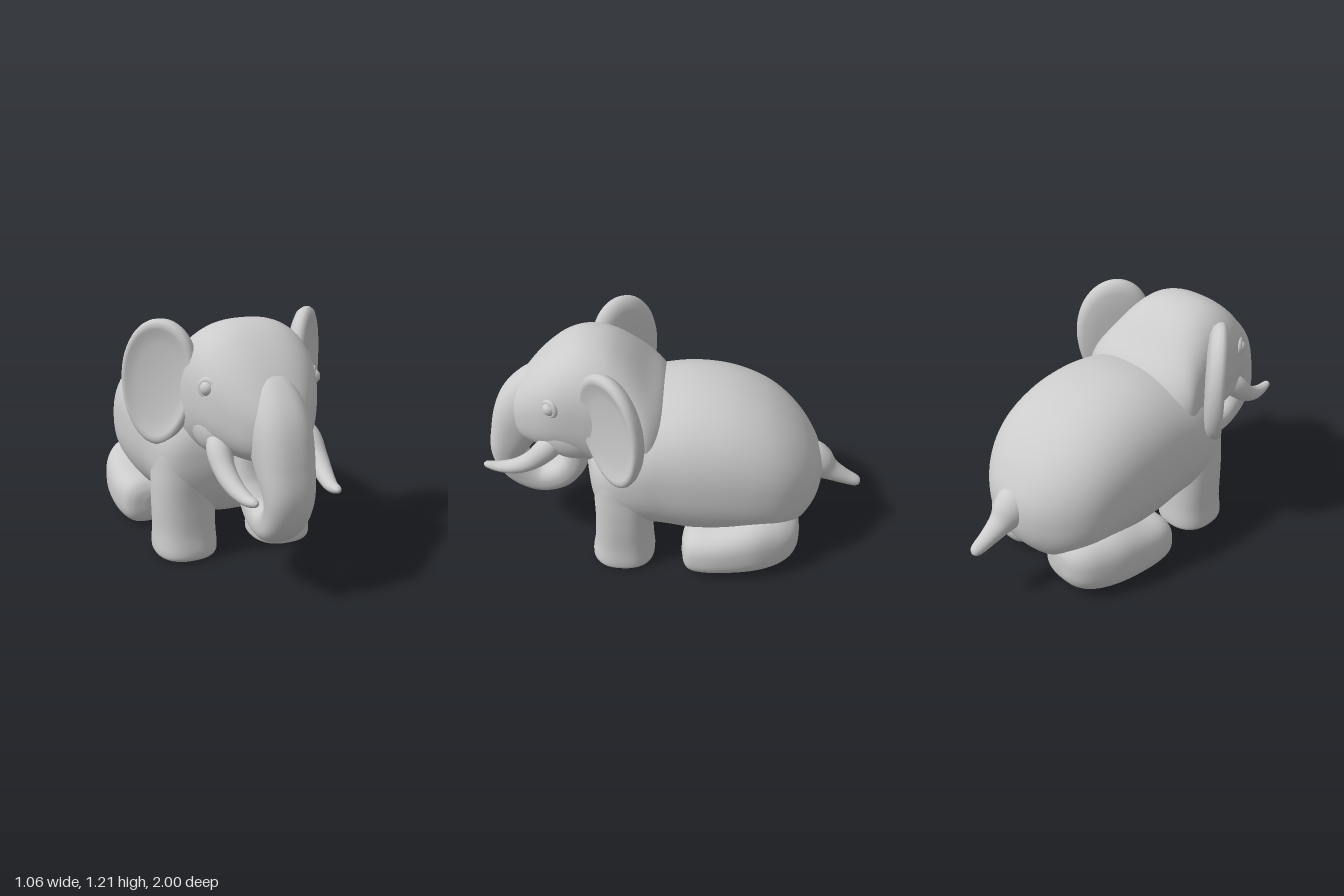
import * as THREE from 'three';
import { mergeVertices } from 'three/addons/utils/BufferGeometryUtils.js';

const material = new THREE.MeshStandardMaterial({ color: 0xcccccc, roughness: 0.8 });

function mesh(name, geometry) {
  const m = new THREE.Mesh(geometry, material);
  m.name = name;
  return m;
}

// Smooth closed skin through superellipse sections [x, y, z, halfWidth, halfDepth].
// A fixed dir keeps all sections parallel; otherwise they follow the path.
function sweep(sections, { power = 2, dir = null, sides = 48, sub = 6 } = {}) {
  const spline = f => new THREE.CatmullRomCurve3(sections.map(f), false, 'catmullrom', 0.5);
  const path = spline(s => new THREE.Vector3(s[0], s[1], s[2]));
  const size = spline(s => new THREE.Vector3(s[3], s[4], 0));
  const steps = (sections.length - 1) * sub;
  const pos = [], index = [];
  const bend = c => Math.sign(c) * Math.pow(Math.abs(c), 2 / power);
  for (let j = 0; j <= steps; j++) {
    const p = path.getPoint(j / steps), r = size.getPoint(j / steps);
    const t = dir ? dir.clone() : path.getTangent(j / steps);
    const u = new THREE.Vector3(1, 0, 0).addScaledVector(t, -t.x).normalize();
    const v = t.clone().cross(u);
    for (let i = 0; i < sides; i++) {
      const a = (i / sides) * Math.PI * 2;
      const q = p.clone().addScaledVector(u, r.x * bend(Math.cos(a))).addScaledVector(v, r.y * bend(Math.sin(a)));
      pos.push(q.x, q.y, q.z);
      if (j < steps) {
        const n = (i + 1) % sides, a0 = j * sides + i, a1 = j * sides + n;
        index.push(a0, a1, a0 + sides, a1, a1 + sides, a0 + sides);
      }
    }
  }
  // end caps
  const c0 = (steps + 1) * sides, last = steps * sides;
  for (const k of [0, 1]) pos.push(...path.getPoint(k).toArray());
  for (let i = 0; i < sides; i++) {
    const n = (i + 1) % sides;
    index.push(c0, n, i, c0 + 1, last + i, last + n);
  }
  const g = new THREE.BufferGeometry();
  g.setAttribute('position', new THREE.Float32BufferAttribute(pos, 3));
  g.setIndex(index);
  g.computeVertexNormals();
  return g;
}

// Section list from side profile rows [z, top, bottom, halfWidth]
const profile = rows => rows.map(([z, top, bottom, w]) => [0, (top + bottom) / 2, z, w, (top - bottom) / 2]);

// Thick dished oval with a soft rim, narrower towards the bottom
function earGeometry(s) {
  const outline = [[0, -0.06], [0.5, -0.058], [0.8, -0.05], [0.93, -0.034], [0.99, -0.01], [1, 0.012],
    [0.97, 0.029], [0.91, 0.036], [0.85, 0.033], [0.76, 0.023], [0.6, 0.015], [0.3, 0.009], [0, 0.007]];
  let g = new THREE.LatheGeometry(outline.map(([x, y]) => new THREE.Vector2(x, y)), 56);
  g.deleteAttribute('uv');
  g.deleteAttribute('normal');
  g = mergeVertices(g, 1e-4);
  g.rotateX(Math.PI / 2);
  const p = g.attributes.position;
  for (let i = 0; i < p.count; i++) p.setX(i, p.getX(i) * (1 + 0.12 * p.getY(i)) - s * 0.12 * p.getY(i));
  g.scale(0.2, 0.31, 1);
  g.rotateY(s * 0.86);
  g.translate(s * 0.383, 0.907, 0.295);
  g.computeVertexNormals();
  return g;
}

export function createModel() {
  const model = new THREE.Group();
  model.name = 'elephant';
  const back = new THREE.Vector3(0, 0, -1), forward = new THREE.Vector3(0, 0, 1), up = new THREE.Vector3(0, 1, 0);

  // Barrel body from chest to rump
  model.add(mesh('body', sweep(profile([
    [0.48, 0.6, 0.5, 0.03], [0.455, 0.67, 0.42, 0.18], [0.41, 0.75, 0.3, 0.33], [0.33, 0.83, 0.21, 0.4],
    [0.2, 0.91, 0.19, 0.425], [0.06, 0.955, 0.17, 0.43], [-0.1, 0.975, 0.14, 0.435], [-0.28, 0.955, 0.13, 0.43],
    [-0.44, 0.895, 0.13, 0.41], [-0.56, 0.815, 0.14, 0.37], [-0.66, 0.715, 0.18, 0.295],
    [-0.73, 0.61, 0.26, 0.2], [-0.765, 0.53, 0.34, 0.11], [-0.778, 0.45, 0.42, 0.02],
  ]), { power: 2.35, dir: back, sides: 72 })));

  // Domed head with a rounded nape sinking into the body
  model.add(mesh('head', sweep(profile([
    [0.03, 0.9, 0.55, 0.25], [0.07, 0.962, 0.5, 0.33], [0.14, 1.03, 0.48, 0.375], [0.24, 1.13, 0.48, 0.345],
    [0.34, 1.195, 0.5, 0.322], [0.45, 1.212, 0.54, 0.312], [0.55, 1.185, 0.58, 0.297], [0.64, 1.125, 0.6, 0.27],
    [0.72, 1.05, 0.61, 0.225], [0.79, 0.965, 0.63, 0.17], [0.84, 0.895, 0.67, 0.11], [0.87, 0.83, 0.72, 0.05],
    [0.875, 0.79, 0.76, 0.01],
  ]), { power: 2.5, dir: forward, sides: 72 })));

  // Trunk growing out of the brow and curling back to the chin
  model.add(mesh('trunk', sweep([
    [0, 0.93, 0.62, 0.09, 0.13], [0, 0.87, 0.705, 0.125, 0.15], [0, 0.77, 0.79, 0.14, 0.153], [0, 0.63, 0.862, 0.13, 0.125],
    [0, 0.5, 0.908, 0.115, 0.092], [0, 0.38, 0.865, 0.1, 0.085], [0, 0.31, 0.76, 0.092, 0.08],
    [0, 0.33, 0.645, 0.09, 0.08], [0, 0.41, 0.568, 0.09, 0.075], [0, 0.5, 0.537, 0.09, 0.07], [0, 0.62, 0.52, 0.09, 0.08],
  ], { power: 2.4, sub: 8 })));

  // Tail
  model.add(mesh('tail', sweep([
    [0, 0.48, -0.63, 0.06, 0.06], [0, 0.47, -0.7, 0.1, 0.11], [0, 0.45, -0.755, 0.092, 0.1],
    [0, 0.405, -0.82, 0.064, 0.062], [0, 0.36, -0.9, 0.046, 0.042], [0, 0.33, -0.965, 0.034, 0.032],
    [0, 0.321, -0.99, 0.022, 0.021], [0, 0.319, -0.999, 0.004, 0.004],
  ], { sides: 32 })));

  for (const s of [1, -1]) {
    const side = s > 0 ? 'left' : 'right';
    const flip = rows => rows.map(([x, ...rest]) => [s * x, ...rest]);
    const part = (name, rows, options) => model.add(mesh(side + name, sweep(flip(rows), options)));

    // Pillar front legs
    part('FrontLeg', [
      [0.262, 0.004, 0.275, 0.13, 0.14], [0.262, 0.014, 0.275, 0.153, 0.16], [0.262, 0.05, 0.275, 0.16, 0.166],
      [0.262, 0.15, 0.27, 0.155, 0.155], [0.262, 0.3, 0.267, 0.158, 0.15], [0.255, 0.45, 0.265, 0.16, 0.152],
      [0.245, 0.6, 0.26, 0.15, 0.14], [0.24, 0.68, 0.25, 0.05, 0.05],
    ], { power: 2.4, dir: up });

    // Folded hind legs lying along the ground, toes turned out
    part('HindLeg', [
      [0.335, 0.13, -0.04, 0.03, 0.04], [0.337, 0.13, -0.055, 0.095, 0.09], [0.338, 0.137, -0.1, 0.133, 0.126],
      [0.333, 0.15, -0.22, 0.157, 0.142], [0.312, 0.175, -0.4, 0.165, 0.167], [0.265, 0.175, -0.53, 0.165, 0.165],
      [0.238, 0.175, -0.61, 0.142, 0.13], [0.23, 0.18, -0.65, 0.09, 0.08], [0.23, 0.18, -0.66, 0.02, 0.02],
    ], { power: 2.6, dir: back });

    // Cheek at the root of the tusk
    const cheek = mesh(side + 'Cheek', new THREE.SphereGeometry(1, 32, 24));
    cheek.scale.set(0.1, 0.14, 0.18);
    cheek.position.set(s * 0.19, 0.745, 0.5);
    model.add(cheek);

    // Tusks
    part('Tusk', [
      [0.19, 0.74, 0.56, 0.04, 0.04], [0.226, 0.675, 0.645, 0.057, 0.06], [0.232, 0.6, 0.73, 0.05, 0.05],
      [0.222, 0.55, 0.82, 0.042, 0.04], [0.207, 0.529, 0.91, 0.032, 0.029], [0.2, 0.536, 0.98, 0.02, 0.018],
      [0.199, 0.54, 0.997, 0.004, 0.004],
    ], { sides: 28 });

    model.add(mesh(side + 'Ear', earGeometry(s)));

    // Eyeball with a lid ring
    const eye = new THREE.Group();
    eye.name = side + 'Eye';
    eye.add(mesh('eyeball', new THREE.SphereGeometry(0.036, 24, 16)));
    eye.add(mesh('eyelid', new THREE.TorusGeometry(0.036, 0.016, 12, 32)));
    eye.position.set(s * 0.263, 0.95, 0.605);
    eye.rotation.y = s * 0.95;
    model.add(eye);
  }
  return model;
}
